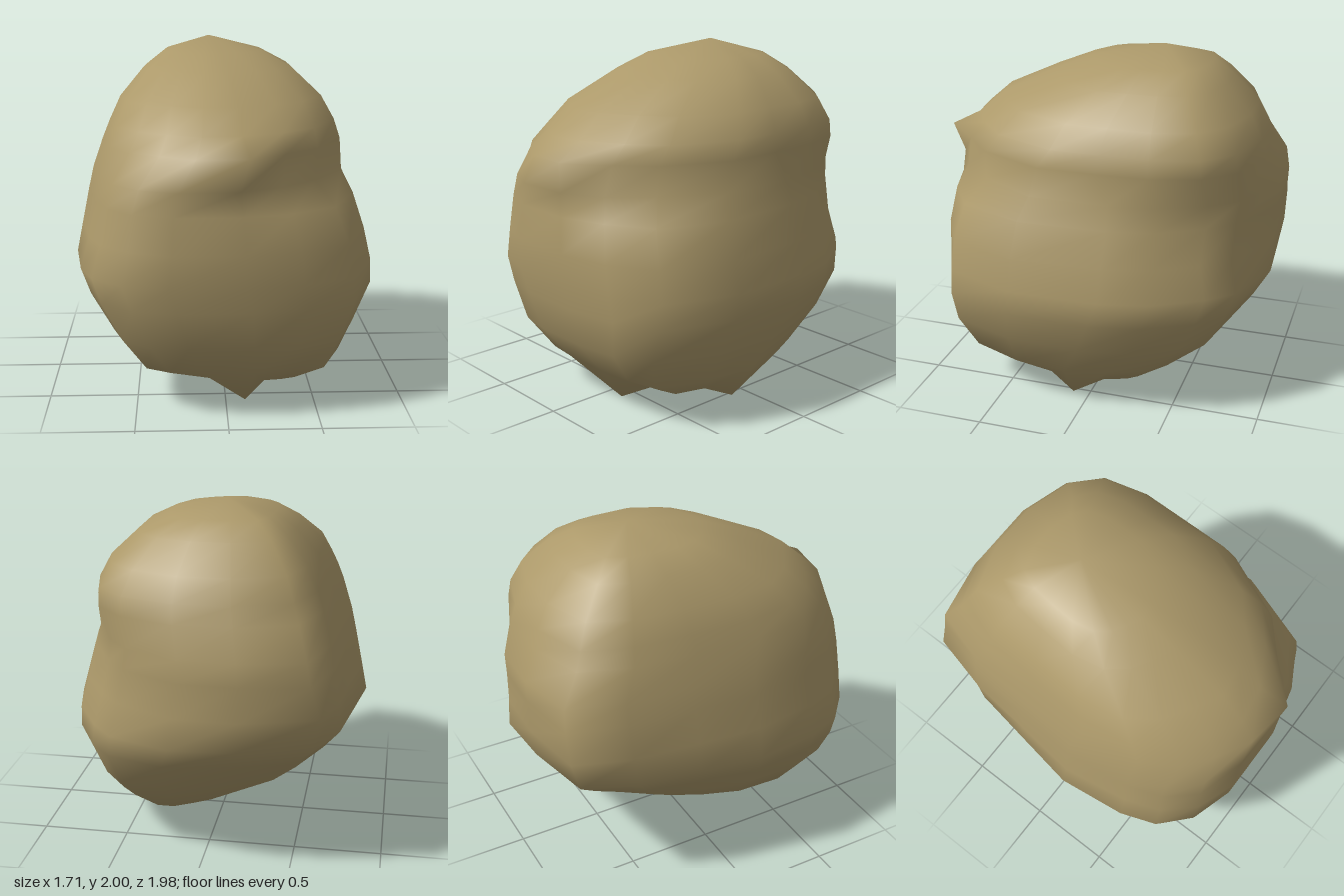
import * as THREE from 'three';

// Plan outlines as x, z pairs within -1..1, from the +x side round by the front
const BASE = [
  [0.95, 0.4], [0.75, 0.88], [0.45, 0.96], [0.1, 1], [-0.4, 1], [-0.7, 0.97],
  [-0.92, 0.85], [-1, 0.6], [-0.98, 0.15], [-0.85, -0.2], [-0.72, -0.45], [-0.5, -0.65],
  [-0.1, -0.85], [0.25, -1], [0.6, -1], [0.76, -0.85], [0.92, -0.5], [1, -0.1],
];
const WAIST = [
  [1, 0.37], [0.82, 0.78], [0.49, 0.93], [0.13, 1], [-0.35, 1], [-0.64, 0.91],
  [-0.83, 0.74], [-0.92, 0.54], [-1, 0.15], [-0.95, -0.22], [-0.9, -0.61], [-0.77, -0.94],
  [-0.28, -1], [0.15, -0.99], [0.57, -0.82], [0.72, -0.67], [0.9, -0.42], [0.98, -0.16],
];
const SHOULDER = [
  [1, 0.22], [0.76, 0.64], [0.48, 0.82], [0.13, 0.96], [-0.2, 1], [-0.48, 0.88],
  [-0.72, 0.76], [-0.92, 0.55], [-1, 0.2], [-0.97, -0.2], [-0.92, -0.58], [-0.76, -0.88],
  [-0.28, -1], [0.2, -1], [0.65, -0.9], [0.9, -0.72], [1, -0.42], [1, -0.1],
];
const SEGMENTS = WAIST.length;

// Cross-sections from bottom to top: y, xMin, xMax, zMin, zMax,
// outline (-1 base, 0 waist, 1 shoulder)
const RINGS = [
  [0.07, -0.08, 0.48, -0.25, 0.48, -1],
  [0.23, -0.49, 0.69, -0.45, 0.77, -1],
  [0.42, -0.64, 0.77, -0.72, 0.91, -0.7],
  [0.63, -0.79, 0.86, -0.89, 0.95, -0.4],
  [0.77, -0.86, 0.85, -0.98, 0.97, -0.2],
  [0.95, -0.82, 0.80, -0.98, 0.98, 0],
  [1.15, -0.78, 0.74, -0.985, 0.96, 0],
  [1.28, -0.75, 0.69, -0.99, 0.96, 0.2],
  [1.45, -0.69, 0.67, -0.92, 0.95, 0.8],
  [1.55, -0.65, 0.64, -0.88, 0.85, 1],
  [1.68, -0.59, 0.57, -0.81, 0.70, 1],
  [1.83, -0.46, 0.41, -0.66, 0.38, 1],
  [1.92, -0.34, 0.24, -0.55, 0.16, 1],
];

// Sharp points: two feet, the overhanging brow and the back corner
const PEAKS = [
  [0.11, 0, 0.59],
  [0.53, 0, 0.10],
  [0.11, 1.46, 0.99],
  [-0.66, 0.98, -0.93],
];

function ringPoint([y, x0, x1, z0, z1, outline], i) {
  const other = outline < 0 ? BASE : SHOULDER;
  const [px, pz] = WAIST[i].map((v, k) => THREE.MathUtils.lerp(v, other[i][k], Math.abs(outline)));
  const p = new THREE.Vector3(
    (x0 + x1) / 2 + ((x1 - x0) / 2) * px, y,
    (z0 + z1) / 2 + ((z1 - z0) / 2) * pz);
  // Hollow beneath the brow on the +x front corner
  const d2 = ((p.x - 0.56) / 0.32) ** 2 + ((p.y - 1.3) / 0.13) ** 2 + ((p.z - 0.75) / 0.4) ** 2;
  const dent = 0.12 * Math.exp(-d2);
  p.x -= dent * 0.6;
  p.z -= dent * 0.8;
  return p;
}

function boulderGeometry() {
  const points = RINGS.flatMap((ring) => WAIST.map((_, i) => ringPoint(ring, i)));
  // Pull the nearest point out to each peak
  for (const peak of PEAKS) {
    const target = new THREE.Vector3(...peak);
    points.reduce((a, b) => (b.distanceTo(target) < a.distanceTo(target) ? b : a)).copy(target);
  }
  const bottom = points.push(new THREE.Vector3(0.27, 0.07, 0.24)) - 1;
  const top = points.push(new THREE.Vector3(-0.07, 2, -0.28)) - 1;

  const index = [];
  const last = (RINGS.length - 1) * SEGMENTS;
  for (let i = 0; i < SEGMENTS; i++) {
    const j = (i + 1) % SEGMENTS;
    index.push(bottom, i, j, top, last + j, last + i);
    for (let r = 0; r < last; r += SEGMENTS) {
      const a = r + i, b = r + j, c = a + SEGMENTS, d = b + SEGMENTS;
      index.push(a, c, b, b, c, d);
    }
  }
  const geometry = new THREE.BufferGeometry().setFromPoints(points);
  geometry.setIndex(index);
  geometry.computeVertexNormals();
  return geometry;
}

export function createModel() {
  const group = new THREE.Group();
  group.name = 'rock';
  const stone = new THREE.MeshStandardMaterial({ color: 0xac996a });
  stone.name = 'sandy stone';
  const boulder = new THREE.Mesh(boulderGeometry(), stone);
  boulder.name = 'boulder';
  group.add(boulder);
  return group;
}
